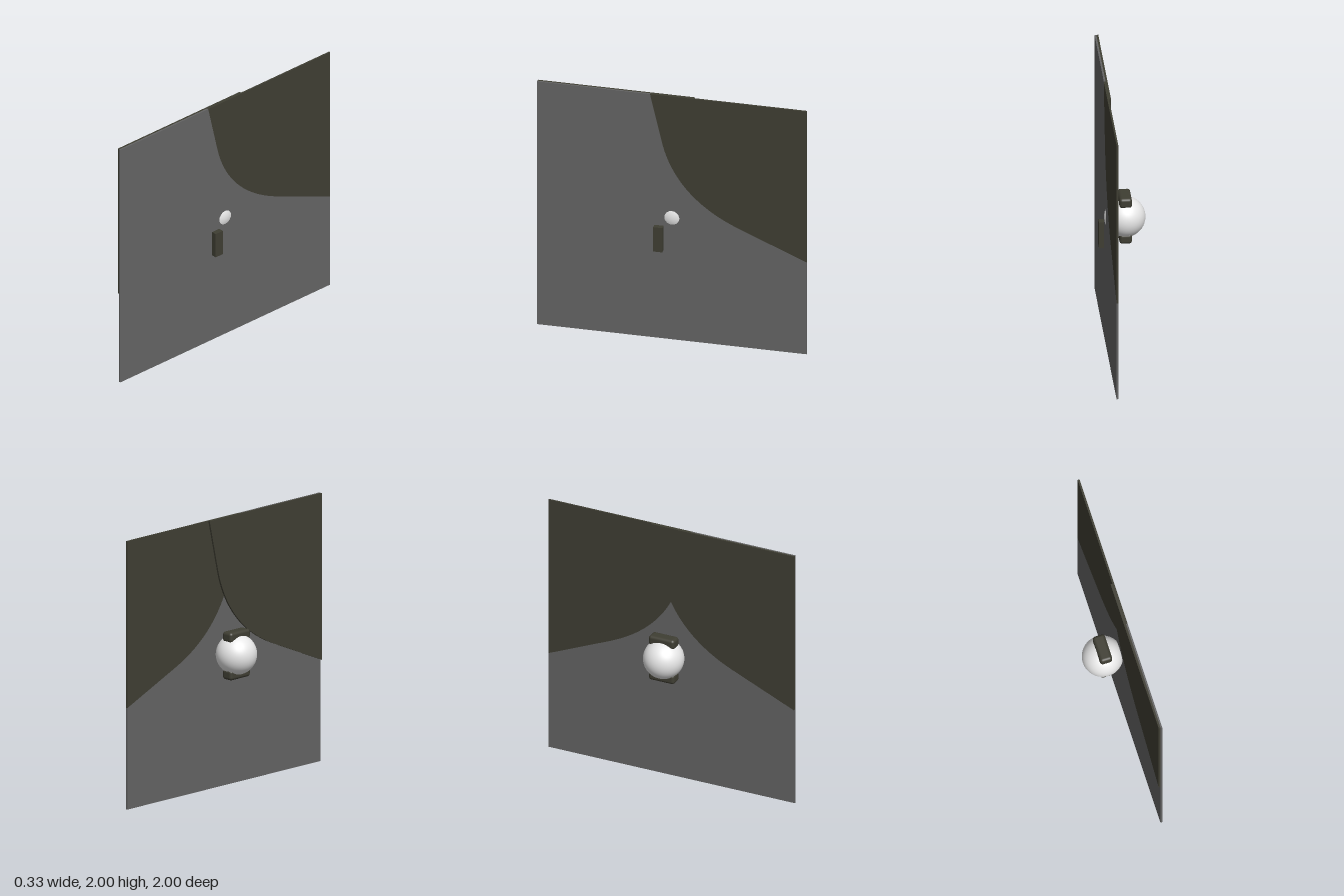
import * as THREE from 'three';
import { RoundedBoxGeometry } from 'three/addons/geometries/RoundedBoxGeometry.js';

const material = (name, color) => new THREE.MeshStandardMaterial({ name, color });

// Sloping curve shared by the panels; u runs along -z, side mirrors it
function traceCurve(shape, side) {
  shape.moveTo(-0.162 * side, 2);
  shape.lineTo(-0.075 * side, 1.62);
  shape.quadraticCurveTo(0.028 * side, 1.173, 0.5 * side, 0.97);
  shape.lineTo(side, 0.757);
}

// Upper corner piece bounded by the curve
function cornerShape(side) {
  const shape = new THREE.Shape();
  traceCurve(shape, side);
  shape.lineTo(side, 2);
  shape.closePath();
  return shape;
}

// Square sheet with one upper corner cut away
function sheetShape() {
  const shape = new THREE.Shape();
  traceCurve(shape, 1);
  shape.lineTo(1, 0);
  shape.lineTo(-1, 0);
  shape.lineTo(-1, 2);
  shape.closePath();
  return shape;
}

export function createModel() {
  const group = new THREE.Group();
  const white = material('white', 0xf2f2f2);
  const grey = material('grey', 0x646464);
  const charcoal = material('charcoal', 0x3f3e33);

  const add = (name, geometry, mat, x = 0, y = 0, z = 0) => {
    const mesh = new THREE.Mesh(geometry, mat);
    mesh.name = name;
    mesh.position.set(x, y, z);
    group.add(mesh);
  };

  // Thin upright panels, extruded towards +x
  const panel = (name, shape, mat, x0, x1) => {
    const geometry = new THREE.ExtrudeGeometry(shape, {
      depth: x1 - x0, bevelEnabled: false, curveSegments: 24,
    });
    geometry.rotateY(Math.PI / 2);
    add(name, geometry, mat, x0);
  };
  panel('mainPanel', sheetShape(), grey, 0.11, 0.123);
  panel('flushCornerPanel', cornerShape(1), charcoal, 0.11, 0.123);
  panel('raisedCornerPanel', cornerShape(-1), charcoal, 0.096, 0.11);

  // Ball poking through the panel, with a pad above and below
  add('ball', new THREE.SphereGeometry(0.15, 48, 32), white, -0.016, 1, 0);
  for (const [name, y] of [['upperPad', 1.142], ['lowerPad', 0.862]]) {
    add(name, new RoundedBoxGeometry(0.092, 0.076, 0.208, 4, 0.022), charcoal, -0.016, y, 0);
  }

  // Handle on the outer face
  add('handle', new THREE.BoxGeometry(0.038, 0.2, 0.068), charcoal, 0.147, 0.83, 0.094);

  return group;
}
